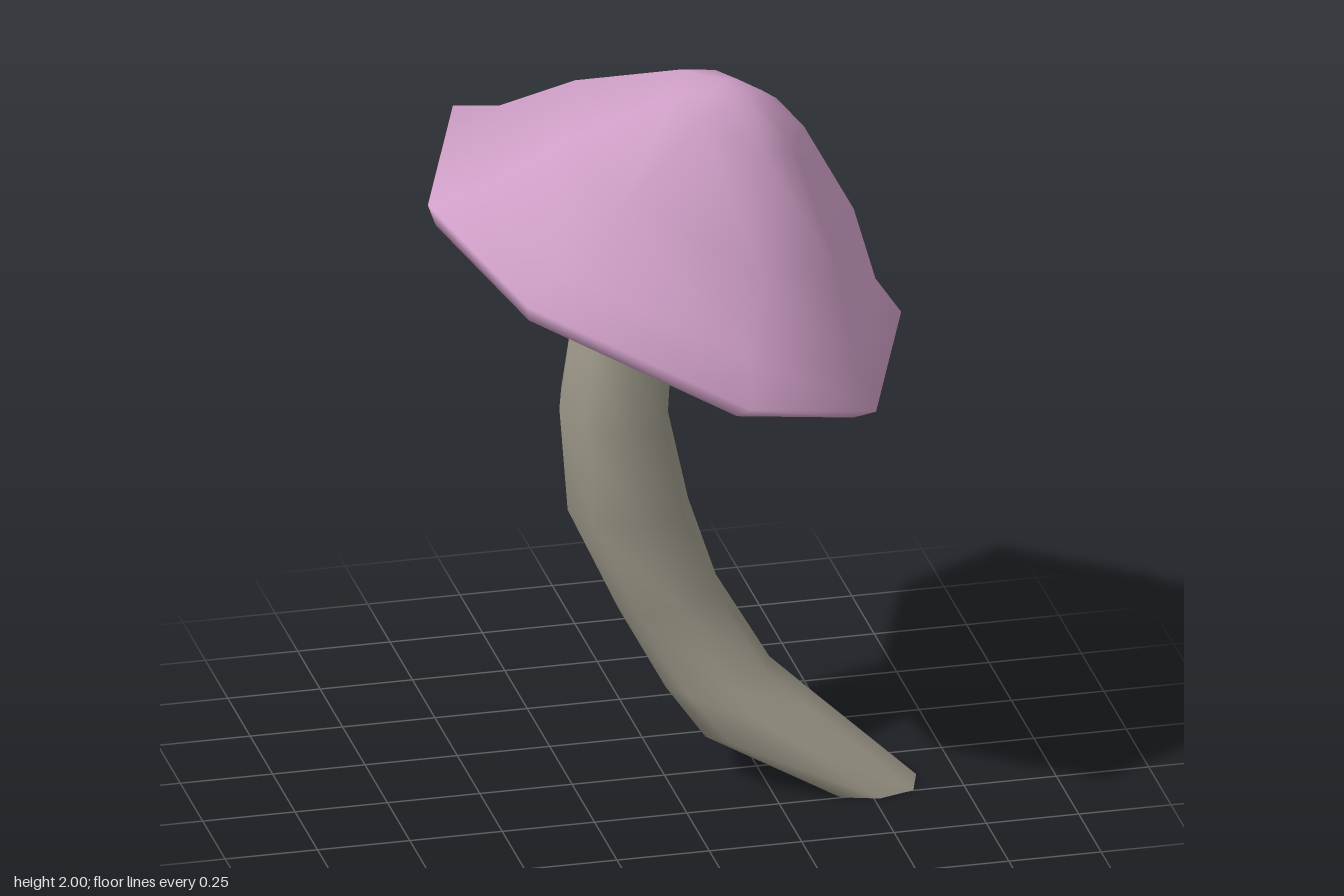
import * as THREE from 'three';

const V = (x, y, z) => new THREE.Vector3(x, y, z);

// Smooth skin through rings of points, ordered bottom to top, with an optional closing tip
function loft(rings, tip) {
  const n = rings[0].length;
  const points = rings.flat();
  const index = [];
  for (let i = 0; i < rings.length - 1; i++) {
    for (let j = 0; j < n; j++) {
      const a = i * n + j, d = i * n + (j + 1) % n;
      const b = a + n, c = d + n;
      index.push(a, b, c, a, c, d);
    }
  }
  if (tip) {
    const last = (rings.length - 1) * n;
    for (let j = 0; j < n; j++) index.push(last + j, points.length, last + (j + 1) % n);
    points.push(tip);
  }
  const geometry = new THREE.BufferGeometry().setFromPoints(points);
  geometry.setIndex(index);
  geometry.computeVertexNormals();
  return geometry;
}

// Outline corner at an angle in degrees and a distance from the middle
const corner = (degrees, r = 1) => {
  const t = THREE.MathUtils.degToRad(degrees);
  return [r * Math.cos(t), r * Math.sin(t)];
};

// A ring around a centre: an outline spanned by two half-axes
const ring = (centre, a, b, outline) => outline.map(([s, t]) =>
  centre.clone().addScaledVector(a, s).addScaledVector(b, t));

function makeCap(material) {
  // Tilted frame: axis points up and out of the cap, u and v span the rim
  const centre = V(0, 1.49, 0);
  const axis = V(0.43, 1, 0.147).normalize();
  const u = V(0.66, -0.27, -0.11).normalize();
  const v = V(0.06, -0.13, 0.71).normalize();
  const outline = [0, 53, 90, 143, 180, 233, 270, 323].map((t) => corner(t));
  // Radius and height: collar, flat underside, lip, bell-shaped top
  const profile = [
    [0.1, -0.13], [0.137, -0.125], [0.158, -0.06], [0.68, -0.053], [0.73, 0],
    [0.612, 0.08], [0.454, 0.268], [0.2, 0.475], [0.08, 0.526],
  ];
  const at = (h) => centre.clone().addScaledVector(axis, h);
  const rings = profile.map(([r, h]) =>
    ring(at(h), u.clone().multiplyScalar(r), v.clone().multiplyScalar(r), outline));
  const cap = new THREE.Mesh(loft(rings, at(0.534)), material);
  cap.name = 'cap';
  return cap;
}

function makeStem(material) {
  const group = new THREE.Group();
  group.name = 'stem';
  // Eight-sided outline, a little fuller on the diagonals
  const outline = Array.from({ length: 8 }, (_, i) => corner(i * 45, i % 2 ? 1.07 : 1));
  // Centre x, y, z; sideways half-axis x, y; front half-axis y, z
  const sections = [
    [0.515, 0, 0.15, 0.13, 0, 0, 0.13],
    [0.24, 0.175, 0.045, 0.14, 0.055, 0.025, 0.165],
    [0.14, 0.29, 0.015, 0.14, 0.03, 0.015, 0.147],
    [0.02, 0.505, -0.055, 0.132, 0.035, 0.015, 0.167],
    [-0.087, 0.77, -0.05, 0.163, 0, 0, 0.162],
    [-0.123, 1.04, -0.06, 0.147, -0.02, -0.01, 0.167],
    [-0.105, 1.24, -0.055, 0.138, -0.03, -0.01, 0.148],
    [-0.055, 1.45, -0.025, 0.11, -0.04, -0.015, 0.11],
  ];
  const rings = sections.map(([x, y, z, ax, ay, by, bz]) =>
    ring(V(x, y, z), V(ax, ay, 0), V(0, by, bz), outline));
  const stalk = new THREE.Mesh(loft(rings), material);
  stalk.name = 'stalk';

  // Flat cut at the ground
  const base = new THREE.Mesh(loft([[...rings[0]].reverse()], V(0.515, 0, 0.15)), material);
  base.name = 'stalkBase';
  group.add(stalk, base);
  return group;
}

export function createModel() {
  const model = new THREE.Group();
  model.name = 'mushroom';
  model.add(
    makeCap(new THREE.MeshStandardMaterial({ color: 0xcf9fc7 })),
    makeStem(new THREE.MeshStandardMaterial({ color: 0x9b9687 })),
  );
  return model;
}
